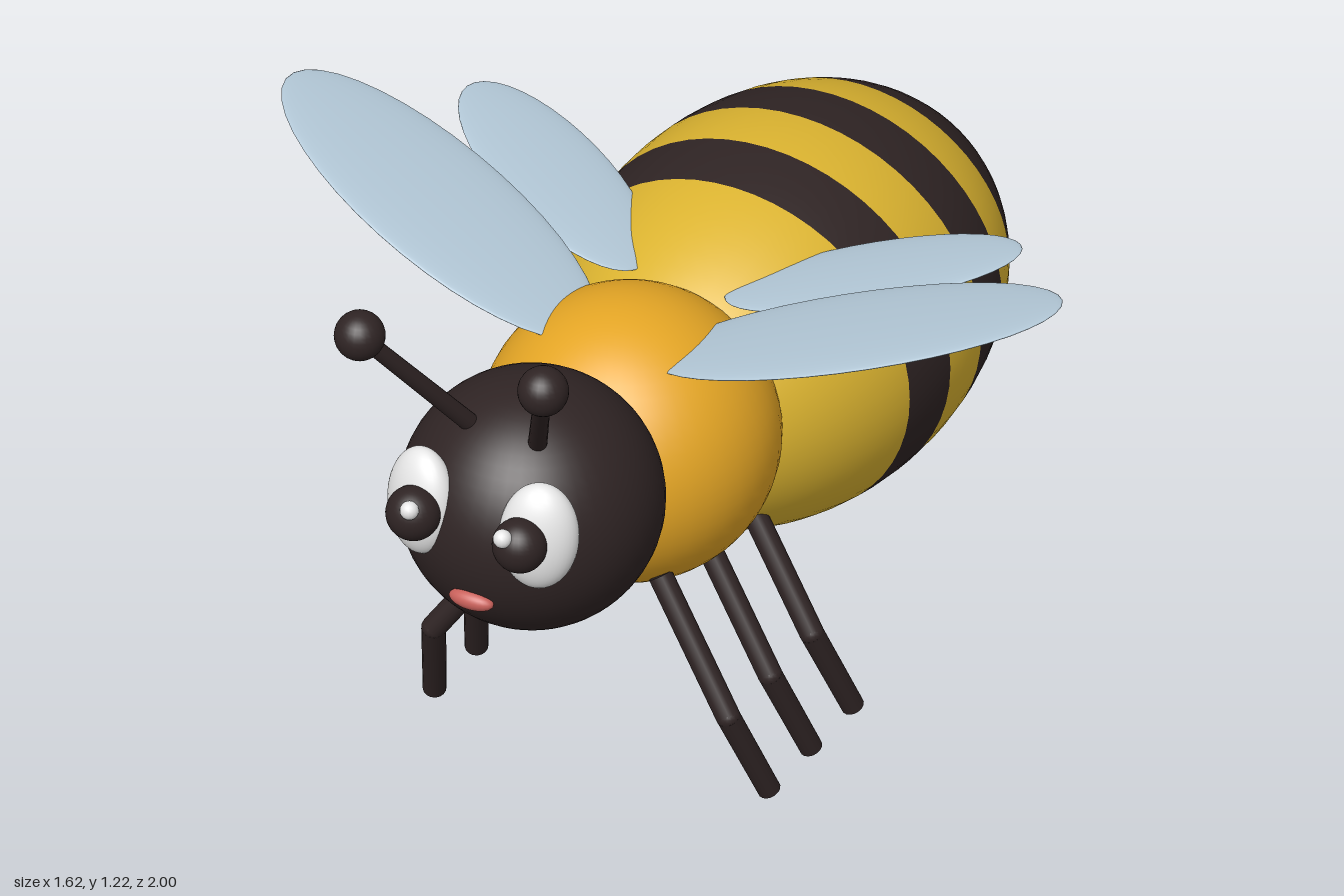
import * as THREE from 'three';

const mat = (name, color) => {
  const m = new THREE.MeshStandardMaterial({ color });
  m.name = name;
  return m;
};

export function createModel() {
  const bee = new THREE.Group();
  bee.name = 'bee';
  const dark = mat('dark brown', 0x2f2424);
  const yellow = mat('yellow', 0xdcb430);
  const orange = mat('amber', 0xe5a625);
  const wingBlue = mat('pale blue', 0xb2c7d6);
  const white = mat('white', 0xf4f4f4);
  const red = mat('mouth red', 0xc8605a);

  const add = (name, geometry, material, x = 0, y = 0, z = 0) => {
    const mesh = new THREE.Mesh(geometry, material);
    mesh.name = name;
    mesh.position.set(x, y, z);
    bee.add(mesh);
    return mesh;
  };
  const ellipsoid = (rx, ry, rz, w = 40, h = 28) =>
    new THREE.SphereGeometry(1, w, h).scale(rx, ry, rz);

  // Tapered rod between two points
  const rod = (name, from, to, r0, r1, material) => {
    const a = new THREE.Vector3(...from), b = new THREE.Vector3(...to);
    const dir = b.clone().sub(a);
    const mesh = add(name, new THREE.CylinderGeometry(r1, r0, dir.length(), 16), material);
    mesh.position.copy(a).add(b).multiplyScalar(0.5);
    mesh.quaternion.setFromUnitVectors(new THREE.Vector3(0, 1, 0), dir.normalize());
    return mesh;
  };

  // Head and thorax
  add('head', ellipsoid(0.248, 0.247, 0.247, 48, 32), dark, 0, 0.7, 0.645);
  add('thorax', ellipsoid(0.282, 0.28, 0.28, 48, 32), orange, 0, 0.627, 0.27);
  add('mouth', ellipsoid(0.046, 0.019, 0.02, 24, 16), red, 0, 0.606, 0.876);

  // Abdomen: bands of one ellipsoid, its pole pointing backwards
  const centreZ = -0.29, halfLength = 0.55;
  const cuts = [-0.84, -0.812, -0.737, -0.617, -0.507, -0.381, -0.255, -0.129, 0.26];
  const theta = z => Math.acos(THREE.MathUtils.clamp((centreZ - z) / halfLength, -1, 1));
  for (let i = 0; i < cuts.length - 1; i++) {
    const t0 = theta(cuts[i]), t1 = theta(cuts[i + 1]);
    const rows = Math.max(3, Math.ceil((t1 - t0) / 0.08));
    const band = new THREE.SphereGeometry(1, 56, rows, 0, Math.PI * 2, t0, t1 - t0)
      .rotateX(-Math.PI / 2).scale(0.386, 0.366, halfLength);
    add('abdomenBand' + (i + 1), band, i % 2 ? yellow : dark, 0, 0.583, centreZ);
  }
  rod('sting', [0, 0.548, -0.8], [0, 0.548, -1], 0.081, 0, dark);

  for (const s of [1, -1]) {
    const side = s > 0 ? 'left' : 'right';

    // Eyes
    const eye = add(side + 'Eye', ellipsoid(0.075, 0.107, 0.048), white, s * 0.124, 0.768, 0.842);
    eye.rotation.set(-0.12, s * 0.3, 0);
    add(side + 'Pupil', ellipsoid(0.052, 0.053, 0.05, 28, 20), dark, s * 0.112, 0.773, 0.895);
    add(side + 'EyeGlint', ellipsoid(0.018, 0.018, 0.018, 16, 12), white, s * 0.098, 0.806, 0.935);

    // Antennae
    rod(side + 'Antenna', [s * 0.07, 0.9, 0.75], [s * 0.193, 1.173, 0.953], 0.018, 0.016, dark);
    add(side + 'AntennaTip', ellipsoid(0.048, 0.048, 0.048, 24, 16), dark, s * 0.193, 1.173, 0.952);

    // Three jointed legs
    [0.417, 0.257, 0.098].forEach((z, i) => {
      const name = side + 'Leg' + (i + 1);
      const knee = [s * 0.31, 0.202, z + 0.04];
      rod(name + 'Upper', [s * 0.145, 0.44, z], knee, 0.023, 0.023, dark);
      add(name + 'Knee', ellipsoid(0.023, 0.023, 0.023, 16, 12), dark, ...knee);
      rod(name + 'Lower', knee, [s * 0.352, 0.009, z - 0.04], 0.023, 0.022, dark);
    });

    // Wings: swept back in their plane, then raised
    const fore = add(side + 'ForeWing', ellipsoid(0.4, 0.014, 0.164), wingBlue, s * 0.44, 0.945, 0.198);
    fore.rotation.set(0, s * 0.28, s * 0.29, 'ZYX');
    const hind = add(side + 'HindWing', ellipsoid(0.28, 0.012, 0.122), wingBlue, s * 0.335, 0.896, -0.052);
    hind.rotation.set(0, s * 0.49, s * 0.22, 'ZYX');
  }
  return bee;
}
